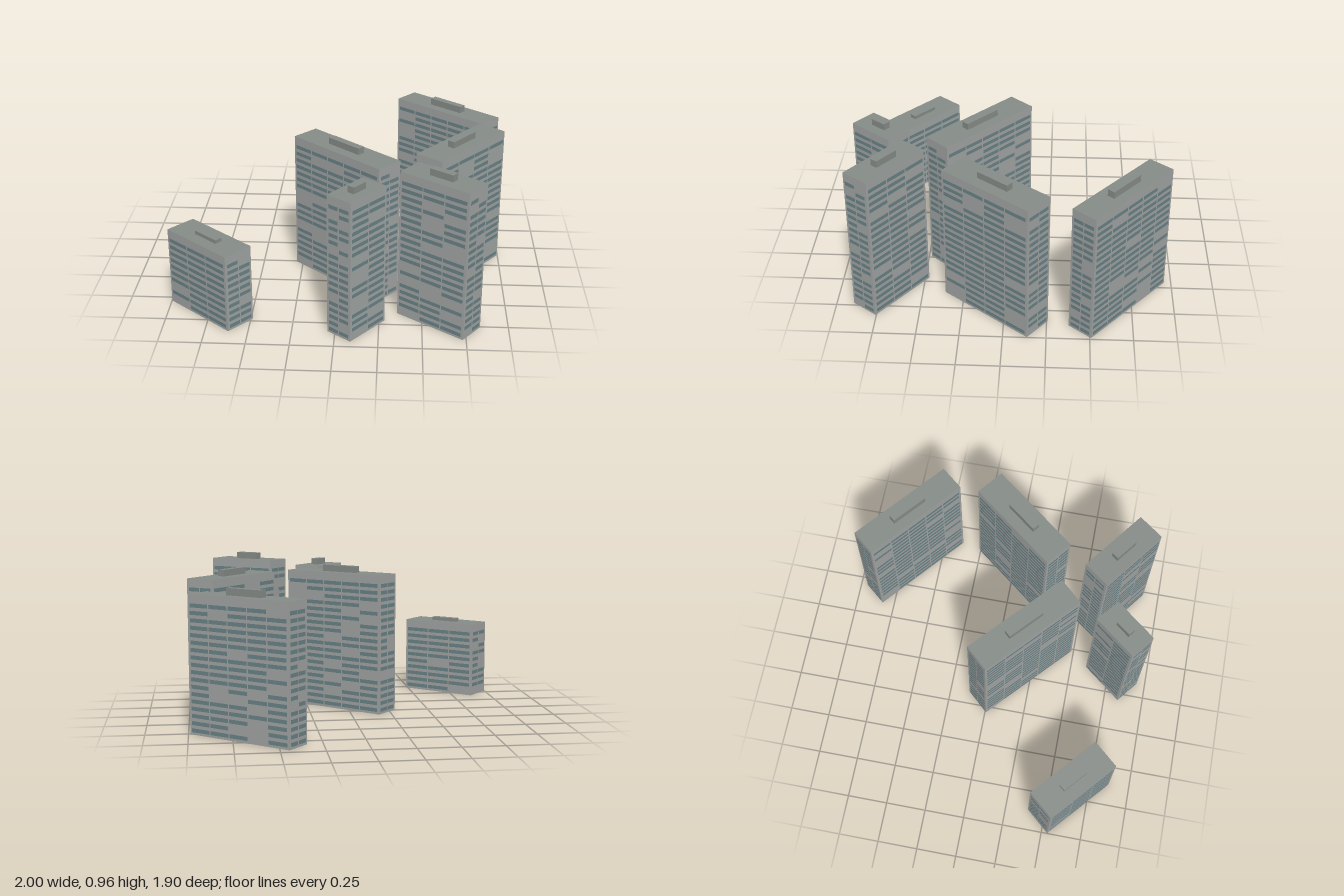
import * as THREE from 'three';
import { mergeGeometries } from 'three/addons/utils/BufferGeometryUtils.js';

// x, z, length, width, height, turn (degrees), roof hut length, hut height, floors, bays per long side
const BLOCKS = [
  [0.665, -0.668, 0.703, 0.168, 0.815, -39.8, 0.243, 0.042, 18, 5],
  [0.724, 0.053, 0.64, 0.19, 0.867, 51.7, 0.22, 0.04, 19, 4],
  [0.033, 0.18, 0.711, 0.178, 0.867, -42.3, 0.25, 0.04, 19, 5],
  [-0.743, 0.631, 0.508, 0.194, 0.48, -40.8, 0.18, 0.022, 10, 3],
  [0.119, 0.773, 0.307, 0.173, 0.867, 51.7, 0.104, 0.04, 19, 2],
  [0.596, 0.687, 0.466, 0.179, 0.916, -36.6, 0.157, 0.041, 20, 3],
];

const material = (color) => new THREE.MeshStandardMaterial({ color });

function seeded(seed) {
  let s = seed;
  return () => (s = (s * 16807) % 2147483647) / 2147483647;
}

// Rows of window strips on one wall; a few bays stay blank
function windowsOnSide(span, depth, height, floors, bays, turn, random) {
  const strips = [];
  const bay = (span - 0.02) / bays;
  const first = 0.026;
  const step = (height - 0.064 - first) / (floors - 1);
  for (let row = 0; row < floors; row++) {
    for (let col = 0; col < bays; col++) {
      if (random() < 0.14) continue;
      const strip = new THREE.PlaneGeometry(bay - 0.008, 0.023);
      strip.translate((col + 0.5 - bays / 2) * bay, first + row * step, depth / 2 + 0.0012);
      strip.rotateY(turn);
      strips.push(strip);
    }
  }
  return strips;
}

function box(name, length, height, width, y, mat) {
  const mesh = new THREE.Mesh(new THREE.BoxGeometry(length, height, width), mat);
  mesh.name = name;
  mesh.position.y = y + height / 2;
  return mesh;
}

export function createModel() {
  const model = new THREE.Group();
  model.name = 'apartmentBlocks';
  const wall = material(0xa0a4a2);
  const roof = material(0x868c88);
  const glass = material(0x6a8287);

  BLOCKS.forEach(([x, z, length, width, height, degrees, hutLength, hutHeight, floors, bays], i) => {
    const block = new THREE.Group();
    block.name = `block${i + 1}`;
    block.position.set(x, 0, z);
    block.rotation.y = THREE.MathUtils.degToRad(degrees);

    // Main slab, with a roof-coloured top face
    const slab = box('walls', length, height, width, 0, [wall, wall, roof, wall, wall, wall]);
    block.add(slab);

    // Plant room on the roof
    block.add(box('roofHut', hutLength, hutHeight, 0.046, height, roof));

    // Windows on all four sides
    const random = seeded(731 + i * 97);
    const strips = [];
    for (let side = 0; side < 4; side++) {
      const long = side % 2 === 0;
      strips.push(...windowsOnSide(
        long ? length : width, long ? width : length,
        height, floors, long ? bays : 2, side * Math.PI / 2, random));
    }
    const windows = new THREE.Mesh(mergeGeometries(strips), glass);
    windows.name = 'windows';
    block.add(windows);
    model.add(block);
  });
  return model;
}
